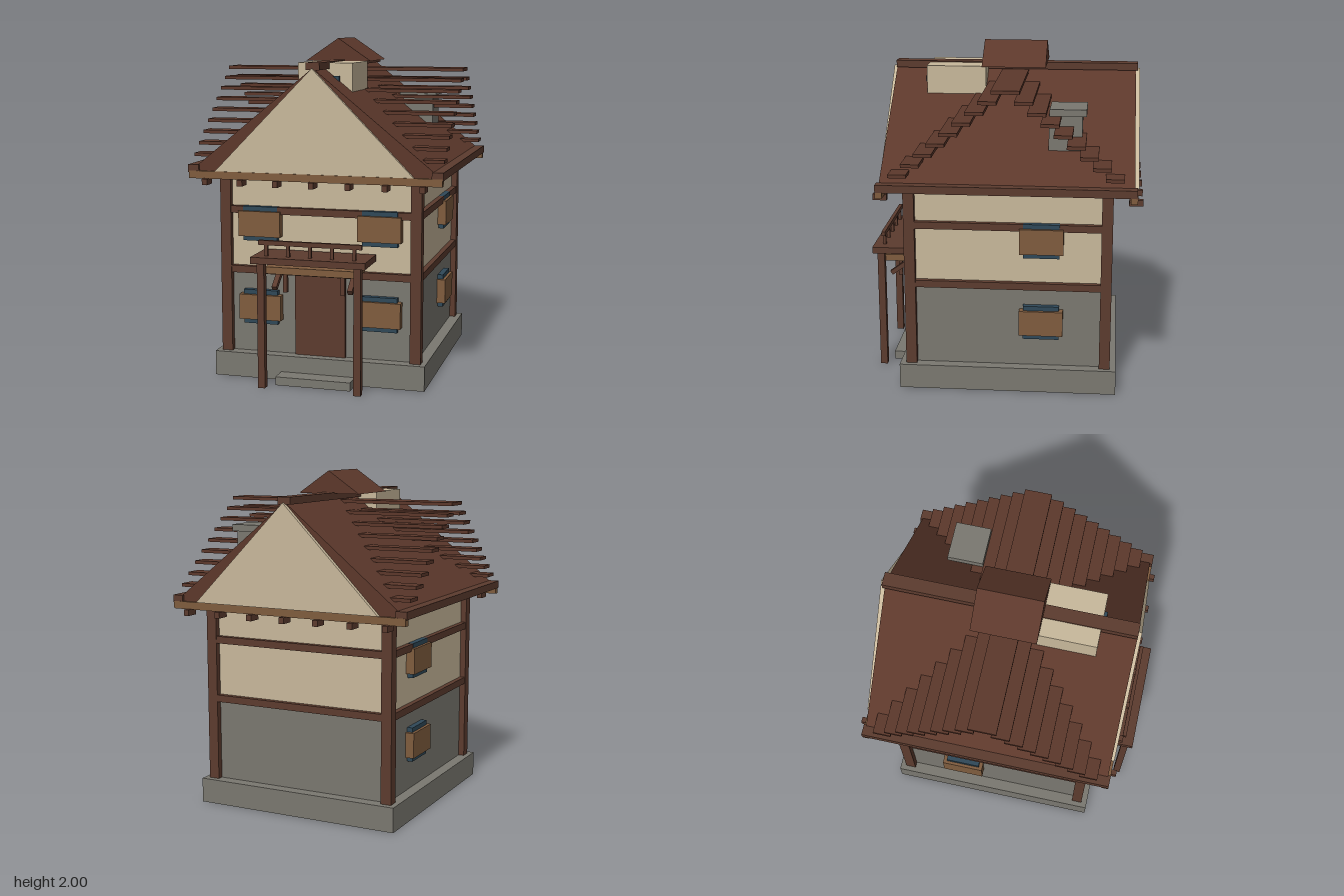
import * as THREE from 'three';

const mat = (name, color, side = THREE.FrontSide) => {
  const m = new THREE.MeshStandardMaterial({ color, side });
  m.name = name;
  return m;
};

export function createModel() {
  const timber = mat('dark timber', 0x5c3b2e);
  const roofing = mat('roof brown', 0x5c382b);
  const plaster = mat('plaster', 0xc8b89b);
  const stone = mat('stone', 0x7a7870);
  const wood = mat('light wood', 0x7f5c3e);
  const glass = mat('window glass', 0x2f4858);

  const model = new THREE.Group();
  model.name = 'house';
  const CZ = -0.037; // centre of the house body in z

  // Box given by its minimum and maximum on each axis
  const box = (name, m, [x0, x1], [y0, y1], [z0, z1], parent = model) => {
    const mesh = new THREE.Mesh(new THREE.BoxGeometry(x1 - x0, y1 - y0, z1 - z0), m);
    mesh.position.set((x0 + x1) / 2, (y0 + y1) / 2, (z0 + z1) / 2);
    mesh.name = name;
    parent.add(mesh);
    return mesh;
  };

  // Triangular prism running along z
  const prism = (name, m, halfWidth, y0, y1, z0, z1) => {
    const s = new THREE.Shape();
    s.moveTo(-halfWidth, y0);
    s.lineTo(halfWidth, y0);
    s.lineTo(0, y1);
    s.closePath();
    const mesh = new THREE.Mesh(new THREE.ExtrudeGeometry(s, { depth: z1 - z0, bevelEnabled: false }), m);
    mesh.position.z = z0;
    mesh.name = name;
    model.add(mesh);
  };

  // Plinth, step and walls
  box('plinth', stone, [-0.637, 0.637], [0, 0.147], [-0.678, 0.604]);
  box('doorStep', stone, [-0.225, 0.225], [0, 0.05], [0.6, 0.71]);
  box('lowerWall', stone, [-0.57, 0.57], [0.147, 0.65], [CZ - 0.57, CZ + 0.57]);
  box('upperWall', plaster, [-0.57, 0.57], [0.65, 1.24], [CZ - 0.57, CZ + 0.57]);

  // Corner posts and horizontal bands
  for (const sx of [-1, 1]) for (const sz of [-1, 1]) {
    const x = sx * 0.574, z = CZ + sz * 0.573;
    box('cornerPost', timber, [x - 0.032, x + 0.032], [0.147, 1.24], [z - 0.032, z + 0.032]);
  }
  for (const y of [0.647, 1.005])
    box('timberBand', timber, [-0.602, 0.602], [y - 0.021, y + 0.021], [CZ - 0.602, CZ + 0.602]);

  // Windows: a glass block behind a projecting wooden shutter
  const addWindow = (x, y, z, turn) => {
    const w = new THREE.Group();
    w.name = 'window';
    box('pane', glass, [-0.105, 0.105], [-0.102, 0.102], [-0.02, 0.034], w);
    box('shutter', wood, [-0.128, 0.128], [-0.075, 0.075], [-0.02, 0.052], w);
    w.position.set(x, y, z);
    w.rotation.y = turn;
    model.add(w);
  };
  for (const y of [0.425, 0.925]) for (const s of [-1, 1]) {
    addWindow(s * 0.361, y, CZ + 0.57, 0);
    addWindow(s * 0.57, y, -0.233, s * Math.PI / 2);
  }

  // Door and lintel
  box('door', timber, [-0.153, 0.153], [0.147, 0.642], [0.52, 0.55]);
  box('doorLintel', wood, [-0.165, 0.165], [0.642, 0.675], [0.52, 0.58]);

  // Porch: posts, deck, ceiling, braces and railing
  box('porchDeck', timber, [-0.337, 0.337], [0.737, 0.775], [0.55, 0.81]);
  box('porchCeiling', wood, [-0.27, 0.27], [0.67, 0.71], [0.55, 0.745]);
  for (const s of [-1, 1]) {
    box('porchPost', timber, [s * 0.285 - 0.021, s * 0.285 + 0.021], [0, 0.74], [0.742, 0.785]);
    box('porchPeg', timber, [s * 0.172 - 0.012, s * 0.172 + 0.012], [0.55, 0.68], [0.655, 0.678]);
    const brace = box('porchBrace', timber, [s * 0.225 - 0.015, s * 0.225 + 0.015], [0.61, 0.638], [0.56, 0.73]);
    brace.rotation.x = 0.62;
    brace.position.y = 0.628;
  }
  box('porchRail', timber, [-0.305, 0.305], [0.838, 0.865], [0.735, 0.757]);
  for (let i = -2; i <= 2; i++)
    box('baluster', timber, [i * 0.13 - 0.01, i * 0.13 + 0.01], [0.77, 0.84], [0.737, 0.755]);

  // Main roof with plaster gables, ridge and eaves
  prism('mainRoof', roofing, 0.742, 1.24, 1.842, -0.758, 0.684);
  prism('frontGable', plaster, 0.585, 1.245, 1.84, 0.68, 0.703);
  prism('backGable', plaster, 0.585, 1.245, 1.84, -0.783, -0.75);
  box('ridgeBeam', timber, [-0.04, 0.04], [1.83, 1.872], [-0.768, 0.684]);
  for (const s of [-1, 1])
    box('eaveBeam', timber, [s * 0.718 - 0.033, s * 0.718 + 0.033], [1.235, 1.28], [-0.773, 0.699]);
  box('frontFascia', wood, [-0.745, 0.745], [1.2, 1.244], [0.66, 0.7]);
  box('backFascia', wood, [-0.745, 0.745], [1.2, 1.244], [-0.775, -0.735]);

  // Rafter ends under both gables
  for (let i = -3; i <= 3; i++) for (const z of [0.69, -0.768])
    box('rafterEnd', timber, [i * 0.213 - 0.016, i * 0.213 + 0.016], [1.166, 1.202], [z - 0.04, z + 0.04]);

  // Long roof battens, closing in towards the middle as they rise
  for (let i = 0; i < 9; i++) for (const s of [-1, 1]) {
    const y = 1.33 + i * 0.0606, z = CZ + s * (0.61 - i * 0.0728);
    box('roofBatten', roofing, [-0.74, 0.74], [y - 0.01, y + 0.01], [z - 0.052, z + 0.052]);
  }

  // Chimney
  box('chimney', stone, [0.31, 0.5], [1.44, 1.65], [-0.455, -0.265]);
  box('chimneyCap', stone, [0.288, 0.518], [1.642, 1.682], [-0.48, -0.27]);

  // Dormer and its small roof
  box('dormer', plaster, [-0.148, 0.177], [1.7, 1.865], [0.127, 0.478]);
  box('dormerWindow', glass, [0.06, 0.102], [1.757, 1.79], [0.47, 0.495]);
  prism('dormerRoof', roofing, 0.2, 1.865, 2, -0.228, 0.15);

  return model;
}
